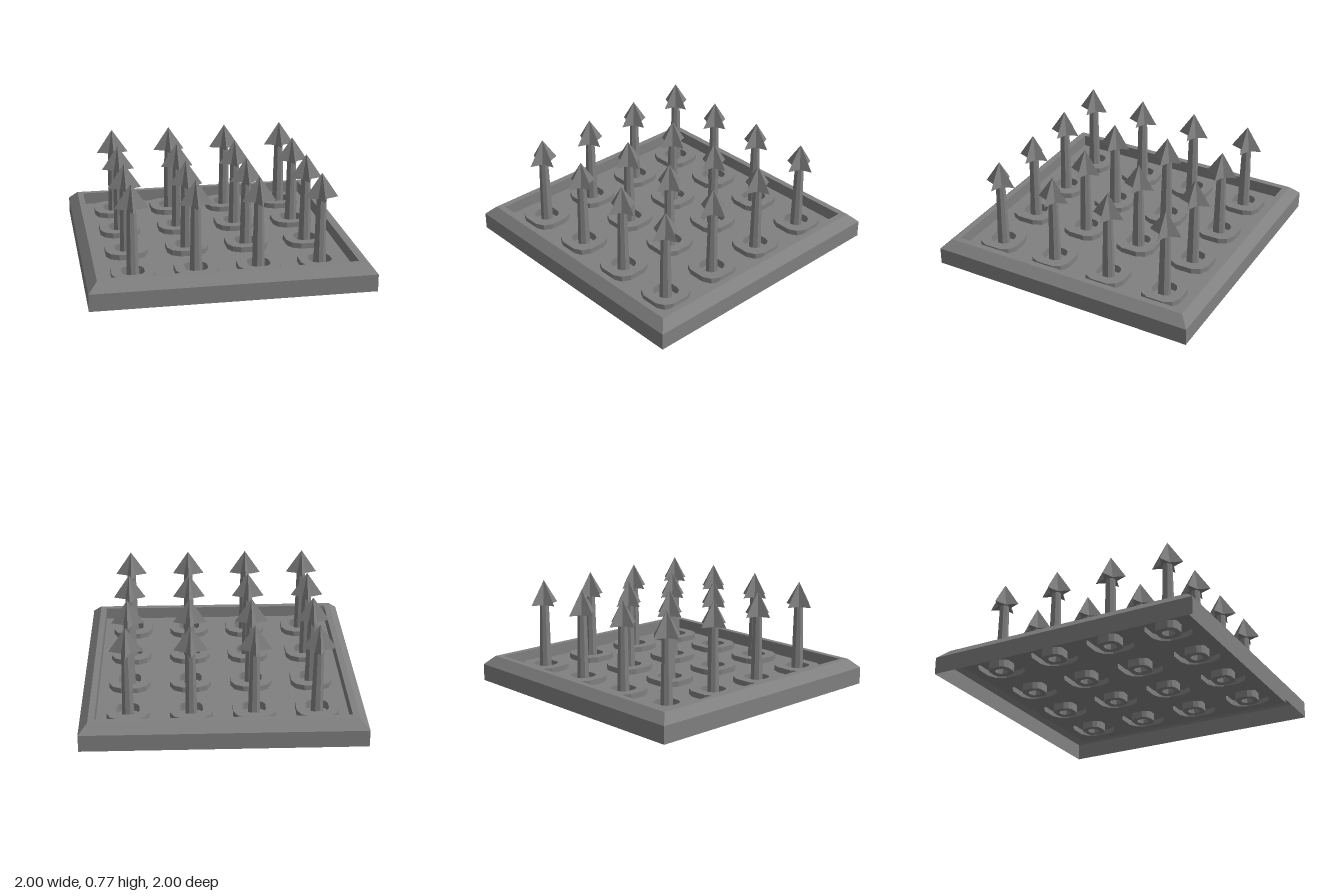
import * as THREE from 'three';

// Sweeps a flat outline of [x, z] points through [scale, y] steps, giving hard-edged faces.
function loft(outline, steps) {
  const pos = [];
  const at = (i, [s, y]) => {
    const [x, z] = outline[i % outline.length];
    return [x * s, y, z * s];
  };
  for (let k = 0; k < steps.length - 1; k++) {
    const lo = steps[k], hi = steps[k + 1];
    for (let i = 0; i < outline.length; i++) {
      if (hi[0] > 0) pos.push(...at(i, lo), ...at(i, hi), ...at(i + 1, hi));
      if (lo[0] > 0) pos.push(...at(i, lo), ...at(i + 1, hi), ...at(i + 1, lo));
    }
  }
  const g = new THREE.BufferGeometry();
  g.setAttribute('position', new THREE.Float32BufferAttribute(pos, 3));
  g.computeVertexNormals();
  return g;
}

// Repeats a quarter outline around the four quadrants.
function fourfold(quarter) {
  const out = [];
  for (let q = 0; q < 4; q++) {
    for (const [x, z] of quarter) {
      out.push([[x, z], [-z, x], [-x, -z], [z, -x]][q]);
    }
  }
  return out;
}

export function createModel() {
  const group = new THREE.Group();
  group.name = 'spikeTrap';
  const iron = new THREE.MeshStandardMaterial({ color: 0x808080, side: THREE.DoubleSide, flatShading: true });
  iron.name = 'iron grey';

  const add = (parent, name, geometry) => {
    const mesh = new THREE.Mesh(geometry, iron);
    mesh.name = name;
    parent.add(mesh);
    return mesh;
  };

  const FLOOR = 0.1, PAD = 0.14, CUP = 0.08;
  const square = fourfold([[1, 1]]);
  const padOutline = fourfold([[0.15, 0.06], [0.12, 0.12], [0.06, 0.15]]);
  const octagon = Array.from({ length: 8 }, (_, i) => {
    const a = (i + 0.5) * Math.PI / 4;
    return [Math.cos(a), Math.sin(a)];
  });
  const star = fourfold([[0.12, 0], [0.033, 0.033]]);
  const rows = [-0.667, -0.222, 0.222, 0.667];

  // Hollow frame with bevelled outer edge and a step down to the floor
  add(group, 'frame', loft(square, [[1, 0], [1, 0.125], [0.935, 0.19], [0.89, 0.19], [0.89, FLOOR]]));

  // Sunken floor, cut out under every pad
  const floor = new THREE.Shape([[-1, -1], [1, -1], [1, 1], [-1, 1]].map(([x, y]) => new THREE.Vector2(x * 0.89, y * 0.89)));
  for (const cx of rows) for (const cz of rows) {
    floor.holes.push(new THREE.Path(padOutline.map(([x, z]) => new THREE.Vector2(cx + x, cz + z))));
  }
  add(group, 'floor', new THREE.ShapeGeometry(floor).rotateX(-Math.PI / 2).translate(0, FLOOR, 0));

  // Raised pad with a sunken socket, tapered shaft and four-bladed head
  const padGeometry = loft(padOutline, [[1, FLOOR], [1, PAD], [0.54, PAD], [0.54, CUP], [0.28, CUP]]);
  const shaftGeometry = loft(octagon, [[0.046, CUP], [0.034, 0.6]]);
  const headGeometry = loft(star, [[0, 0.595], [1, 0.595], [0, 0.775]]);

  for (const x of rows) for (const z of rows) {
    const spike = new THREE.Group();
    spike.name = 'spike';
    spike.position.set(x, 0, z);
    add(spike, 'pad', padGeometry);
    add(spike, 'shaft', shaftGeometry);
    add(spike, 'head', headGeometry);
    group.add(spike);
  }
  return group;
}
